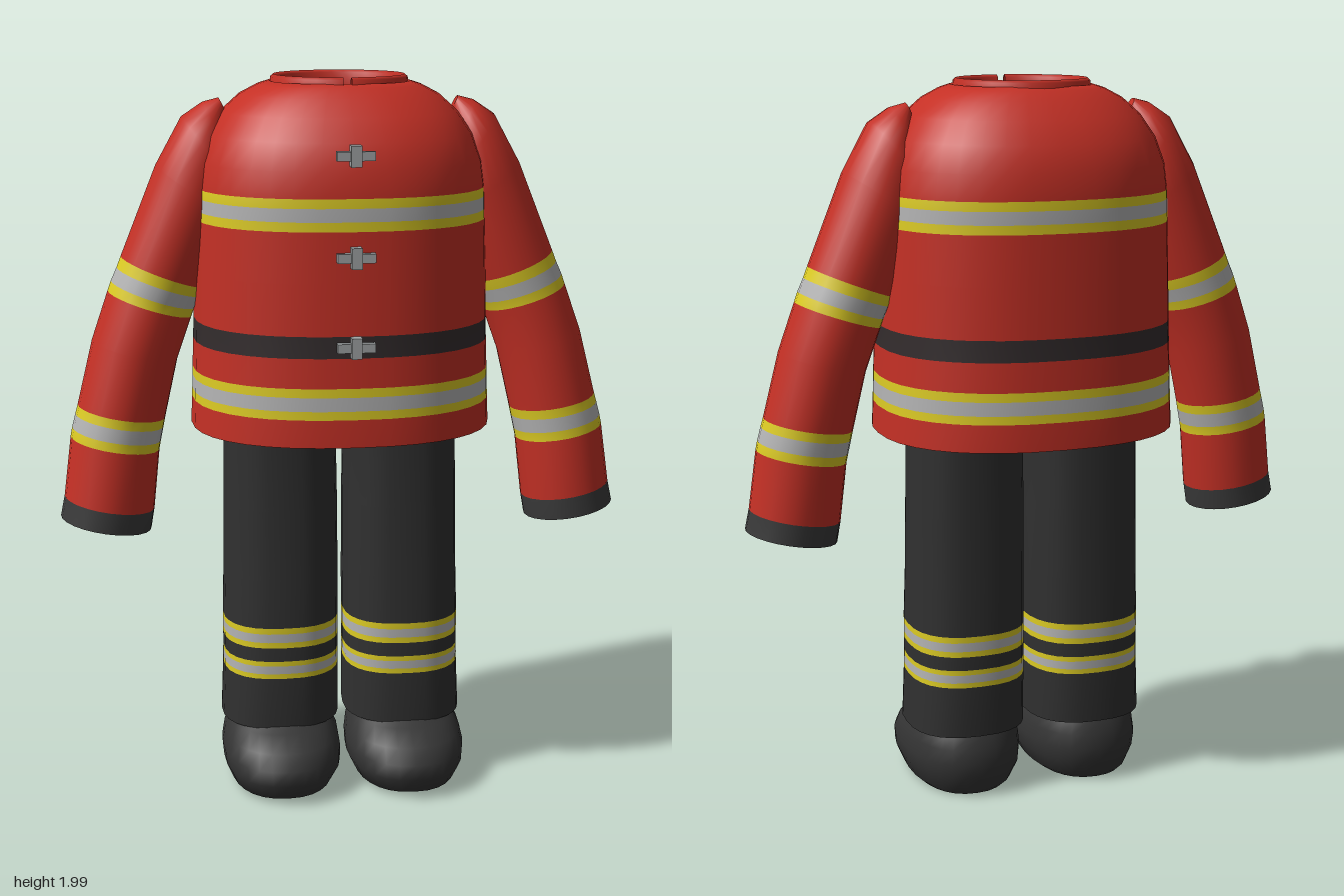
import * as THREE from 'three';

const paint = (name, color, side = THREE.DoubleSide) => {
  const m = new THREE.MeshStandardMaterial({ color, side });
  m.name = name;
  return m;
};

// Loft through rings listed bottom to top: { c:[x,y,z], rx, rz, tilt, mat }.
// "mat" colours the strip above the ring; n is the superellipse exponent.
function loft(name, rings, materials, { seg = 28, n = 2, capBottom = false, capTop = false } = {}) {
  const pos = [], idx = [];
  const geo = new THREE.BufferGeometry();
  const addRing = ({ c, rx, rz, tilt = 0 }) => {
    for (let j = 0; j < seg; j++) {
      const a = (j / seg) * Math.PI * 2;
      const u = Math.sign(Math.cos(a)) * Math.abs(Math.cos(a)) ** (2 / n) * rx;
      const w = Math.sign(Math.sin(a)) * Math.abs(Math.sin(a)) ** (2 / n) * rz;
      pos.push(c[0] + u * Math.cos(tilt), c[1] + u * Math.sin(tilt), c[2] + w);
    }
  };
  rings.forEach(addRing);
  for (let i = 0; i < rings.length - 1; i++) {
    const start = idx.length;
    for (let j = 0; j < seg; j++) {
      const a = i * seg + j, b = i * seg + (j + 1) % seg;
      idx.push(a, a + seg, b, b, a + seg, b + seg);
    }
    geo.addGroup(start, idx.length - start, rings[i].mat || 0);
  }
  // flat caps use their own ring so that the edge stays sharp
  const cap = (ring, up) => {
    const start = idx.length, base = pos.length / 3;
    addRing(ring);
    pos.push(...ring.c);
    for (let j = 0; j < seg; j++) {
      const a = base + j, b = base + (j + 1) % seg;
      idx.push(base + seg, up ? b : a, up ? a : b);
    }
    geo.addGroup(start, idx.length - start, 0);
  };
  if (capBottom) cap(rings[0], false);
  if (capTop) cap(rings[rings.length - 1], true);
  geo.setAttribute('position', new THREE.Float32BufferAttribute(pos, 3));
  geo.setIndex(idx);
  geo.computeVertexNormals();
  const mesh = new THREE.Mesh(geo, materials);
  mesh.name = name;
  return mesh;
}

export function createModel() {
  const root = new THREE.Group();
  root.name = 'fireSuit';
  const red = paint('jacketRed', 0xc43025);
  const yellow = paint('reflectiveYellow', 0xdccb24);
  const silver = paint('reflectiveSilver', 0xb4b4b4);
  const black = paint('beltBlack', 0x332c2d);
  const cuffGrey = paint('cuffGrey', 0x3a3a3a);
  const cloth = paint('trouserCharcoal', 0x303030);
  const leather = paint('bootCharcoal', 0x343434);
  const metal = paint('claspMetal', 0xa3a7a8);

  // Jacket body: [y, half width, front z, back z, colour above]
  const jacketRings = [
    [1.045, 0.415, 0.35, -0.37, 0], [1.12, 0.412, 0.348, -0.368, 1],
    [1.143, 0.411, 0.347, -0.367, 2], [1.18, 0.41, 0.346, -0.366, 1],
    [1.204, 0.409, 0.345, -0.365, 0], [1.284, 0.406, 0.342, -0.362, 3],
    [1.342, 0.404, 0.341, -0.36, 0], [1.48, 0.401, 0.338, -0.357, 0],
    [1.615, 0.397, 0.336, -0.354, 1], [1.64, 0.396, 0.336, -0.354, 2],
    [1.675, 0.395, 0.335, -0.353, 1], [1.7, 0.394, 0.334, -0.352, 0],
    [1.77, 0.385, 0.328, -0.347, 0], [1.84, 0.36, 0.302, -0.322, 0],
    [1.9, 0.32, 0.262, -0.282, 0], [1.945, 0.27, 0.217, -0.239, 0],
    [1.97, 0.222, 0.19, -0.21, 0], [1.98, 0.19, 0.17, -0.19, 0],
    [1.975, 0.168, 0.148, -0.18, 0], [1.93, 0.152, 0.132, -0.172, 0],
  ].map(([y, rx, f, b, mat]) => ({ c: [0, y, (f + b) / 2], rx, rz: (f - b) / 2, mat }));
  root.add(loft('jacketBody', jacketRings, [red, yellow, silver, black], { seg: 36, n: 2.35 }));

  // Thin standing collar with a small gap at the front
  const collarProfile = [[0.188, 1.962], [0.186, 1.99], [0.178, 1.997], [0.168, 1.99], [0.165, 1.955]]
    .map(([r, y]) => new THREE.Vector2(r, y));
  const collar = new THREE.Mesh(
    new THREE.LatheGeometry(collarProfile, 32, 0.06, Math.PI * 2 - 0.12), red);
  collar.name = 'collar';
  collar.position.z = -0.012;
  root.add(collar);

  // Cross-shaped clasps down the front
  for (const [y, z] of [[1.81, 0.338], [1.55, 0.352], [1.315, 0.354]]) {
    const clasp = new THREE.Group();
    clasp.name = 'clasp';
    for (const [w, h, d] of [[0.1, 0.024, 0.022], [0.028, 0.055, 0.034]])
      clasp.add(new THREE.Mesh(new THREE.BoxGeometry(w, h, d), metal));
    clasp.position.set(0, y, z);
    root.add(clasp);
  }

  // Sleeve: [x, y, z, half width, half depth, tilt in degrees, colour above]
  const sleeveRings = [
    [0.659, 0.77, 0.016, 0.127, 0.13, 10, 3], [0.648, 0.828, 0.014, 0.126, 0.129, 10, 0],
    [0.628, 0.995, 0.004, 0.124, 0.128, 10, 1], [0.623, 1.02, 0.002, 0.124, 0.128, 10, 2],
    [0.614, 1.058, 0, 0.123, 0.128, 10, 1], [0.608, 1.083, -0.002, 0.122, 0.128, 10, 0],
    [0.567, 1.255, -0.01, 0.12, 0.128, 14, 0],
    [0.523, 1.38, -0.016, 0.12, 0.126, 18, 1], [0.514, 1.405, -0.016, 0.12, 0.126, 19, 2],
    [0.498, 1.44, -0.016, 0.12, 0.126, 20, 1], [0.487, 1.468, -0.016, 0.12, 0.126, 21, 0],
    [0.4, 1.69, -0.014, 0.12, 0.121, 34, 0], [0.36, 1.8, -0.012, 0.11, 0.107, 52, 0],
    [0.338, 1.865, -0.012, 0.068, 0.066, 62, 0], [0.318, 1.92, -0.012, 0.018, 0.018, 62, 0],
  ];

  // Leg: [x, y, z, half width, half depth, colour above]
  const legRings = [
    [0.176, 0.19, 0, 0.167, 0.178, 0], [0.173, 0.337, -0.002, 0.164, 0.177, 1],
    [0.173, 0.351, -0.002, 0.164, 0.177, 2], [0.172, 0.374, -0.002, 0.164, 0.177, 1],
    [0.172, 0.388, -0.002, 0.164, 0.177, 0], [0.172, 0.427, -0.003, 0.164, 0.176, 1],
    [0.172, 0.443, -0.003, 0.164, 0.176, 2], [0.172, 0.468, -0.003, 0.164, 0.176, 1],
    [0.172, 0.485, -0.003, 0.164, 0.176, 0], [0.17, 0.62, -0.005, 0.162, 0.171, 0],
    [0.169, 0.82, -0.008, 0.16, 0.167, 0], [0.169, 1.0, -0.01, 0.157, 0.165, 0],
    [0.165, 1.15, -0.01, 0.16, 0.165, 0],
  ];

  // Boot: [y, inner x, outer x, toe z, heel z]
  const bootRings = [
    [0.008, 0.055, 0.305, 0.245, -0.15], [0.022, 0.035, 0.322, 0.28, -0.165],
    [0.07, 0.012, 0.342, 0.312, -0.186], [0.11, 0.01, 0.346, 0.305, -0.19],
    [0.15, 0.016, 0.338, 0.272, -0.184], [0.18, 0.03, 0.325, 0.205, -0.17],
    [0.21, 0.045, 0.305, 0.15, -0.155],
  ];

  for (const [side, label] of [[1, 'left'], [-1, 'right']]) {
    root.add(loft(label + 'Sleeve', sleeveRings.map(([x, y, z, rx, rz, deg, mat]) => ({
      c: [x * side, y, z], rx, rz, tilt: THREE.MathUtils.degToRad(deg) * side, mat,
    })), [red, yellow, silver, cuffGrey], { seg: 24, capTop: true }));
    root.add(loft(label + 'TrouserLeg', legRings.map(([x, y, z, rx, rz, mat]) => ({
      c: [x * side, y, z], rx, rz, mat,
    })), [cloth, yellow, silver], { n: 2.5 }));
    root.add(loft(label + 'Boot', bootRings.map(([y, inner, outer, toe, heel]) => ({
      c: [side * (inner + outer) / 2, y, (toe + heel) / 2], rx: (outer - inner) / 2, rz: (toe - heel) / 2,
    })), [leather], { n: 2.3, capBottom: true, capTop: true }));
  }

  // Trouser waist hidden inside the jacket
  root.add(loft('trouserWaist', [
    [1.03, 0.3, 0.13], [1.08, 0.325, 0.165], [1.2, 0.33, 0.19], [1.3, 0.32, 0.19],
  ].map(([y, rx, rz]) => ({ c: [0, y, -0.01], rx, rz })), [cloth], { n: 2.6, capBottom: true, capTop: true }));

  return root;
}
